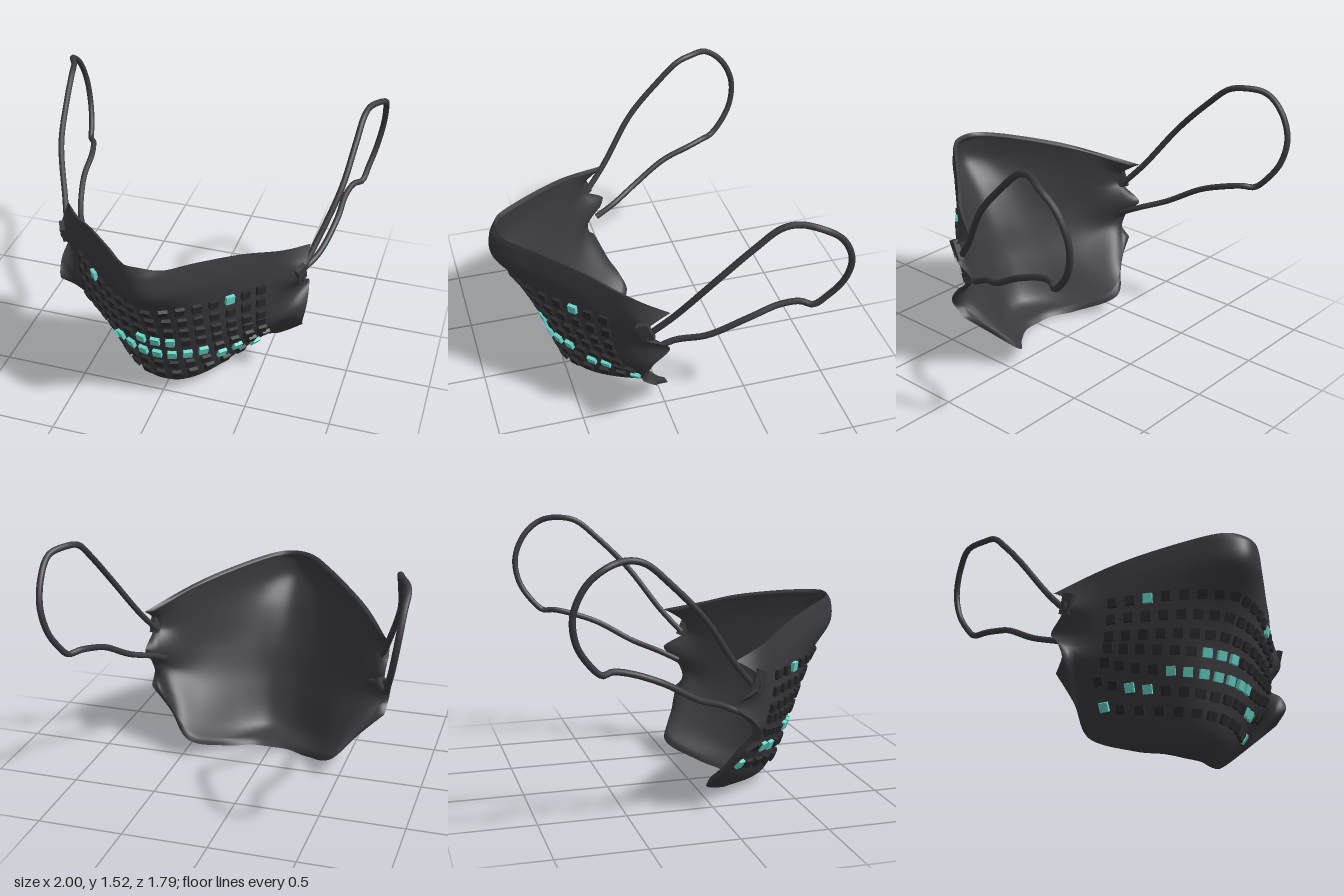
import * as THREE from 'three';

// Half of the mask: each column keeps one x and runs from top edge to bottom edge
// as [y, z], with an optional third value pushing the point sideways
const COLUMNS = [
  { x: 0, p: [[1.12, .85], [1.06, .89], [.93, .885], [.76, .76], [.55, .655], [.32, .575], [.06, .46], [.005, .25]] },
  { x: .12, p: [[1.11, .82], [1.05, .835], [.93, .83], [.76, .72], [.55, .63], [.32, .555], [.065, .43], [.01, .235]] },
  { x: .26, p: [[1.088, .67], [1.03, .68], [.92, .68], [.76, .63], [.55, .56], [.33, .47], [.1, .32], [.03, .14]] },
  { x: .45, p: [[1.038, .45], [.98, .46], [.89, .465], [.76, .45], [.57, .41], [.38, .32], [.2, .13], [.12, -.025]] },
  { x: .6, p: [[.975, .28], [.93, .285], [.86, .29], [.75, .29], [.6, .26], [.46, .24], [.35, .13], [.26, .075]] },
  { x: .74, p: [[.91, .05], [.87, .12], [.82, .18], [.74, .18], [.66, .05, .005], [.57, .15, .02], [.47, .21, .01], [.39, .12]] },
];
const U = COLUMNS.length - 1, V = COLUMNS[0].p.length - 1;

// Smooth curve through the samples get(min..max)
function spline(get, t, min, max) {
  const i = Math.max(min, Math.min(Math.floor(t), max - 1)), f = t - i;
  const at = k => get(Math.min(Math.max(k, min), max));
  const a = at(i - 1), b = at(i), c = at(i + 1), d = at(i + 2);
  return b + .5 * f * (c - a + f * (2 * a - 5 * b + 4 * c - d + f * (3 * (b - c) + d - a)));
}

// Point on the mask, u from -U to U across, v from 0 (top) to V (bottom)
function maskPoint(u, v) {
  const sample = read => spline(k => spline(
    j => read(COLUMNS[Math.abs(k)], j, Math.sign(k)), v, 0, V), u, -U, U);
  return new THREE.Vector3(
    sample((col, j, side) => side * (col.x + (col.p[j][2] ?? 0))),
    sample((col, j) => col.p[j][0]),
    sample((col, j) => col.p[j][1]));
}

// Outward direction of the mask surface
function maskNormal(u, v) {
  const e = .05;
  const u0 = Math.max(u - e, -U), u1 = Math.min(u + e, U);
  const v0 = Math.max(v - e, 0), v1 = Math.min(v + e, V);
  const du = maskPoint(u1, v).sub(maskPoint(u0, v));
  const dv = maskPoint(u, v1).sub(maskPoint(u, v0));
  return dv.cross(du).normalize();
}

function bisect(lo, hi, isBelow) {
  for (let i = 0; i < 24; i++) {
    const mid = (lo + hi) / 2;
    if (isBelow(mid)) lo = mid; else hi = mid;
  }
  return (lo + hi) / 2;
}

// One layer of cloth, set inward by depth but meeting the outer layer at the edges
function layerGeometry(depth, nu = 80, nv = 56) {
  const pos = [], index = [];
  for (let j = 0; j <= nv; j++) {
    for (let i = 0; i <= nu; i++) {
      const u = -U + 2 * U * i / nu, v = V * j / nv;
      const edge = Math.min(1, (U - Math.abs(u)) * 4, v * 4, (V - v) * 4);
      pos.push(...maskPoint(u, v).addScaledVector(maskNormal(u, v), -depth * edge).toArray());
      if (i < nu && j < nv) {
        const a = j * (nu + 1) + i, c = a + nu + 1;
        index.push(a, c, a + 1, a + 1, c, c + 1);
      }
    }
  }
  const g = new THREE.BufferGeometry();
  g.setAttribute('position', new THREE.Float32BufferAttribute(pos, 3));
  g.setIndex(index);
  g.computeVertexNormals();
  return g;
}

// Ear loop path on the left side
const LOOP = [
  [.71, .76, .16], [.765, .905, .035], [.855, 1.175, -.16], [.885, 1.37, -.35], [.9, 1.48, -.48],
  [.92, 1.503, -.57], [.978, 1.485, -.69], [.978, 1.4, -.8], [.965, 1.25, -.867], [.94, 1.1, -.85],
  [.91, .985, -.78], [.89, .92, -.71], [.85, .925, -.65], [.82, .9, -.54], [.81, .835, -.37],
  [.755, .715, -.16], [.675, .65, 0], [.65, .59, .12],
];

// Light rows: height at centre and at the ends, end x, steps to each side, test for lit squares
const ROWS = [
  { y: .775, yEnd: .765, x: .53, n: 7, lit: k => k === 5 },
  { y: .67, yEnd: .67, x: .53, n: 7, lit: () => false },
  { y: .57, yEnd: .575, x: .53, n: 7, lit: () => false },
  { y: .475, yEnd: .515, x: .53, n: 7, lit: k => k <= 1 },
  { y: .362, yEnd: .44, x: .53, n: 7, lit: k => k <= 3 },
  { y: .26, yEnd: .36, x: .53, n: 7, lit: k => k === 4 || k === 5 },
  { y: .16, yEnd: .24, x: .46, n: 6, lit: k => k === 6 },
];

export function createModel() {
  const fabric = new THREE.MeshStandardMaterial({ color: 0x3b3a3f, side: THREE.DoubleSide });
  fabric.name = 'charcoal fabric';
  const dark = new THREE.MeshStandardMaterial({ color: 0x2a2a2c });
  dark.name = 'unlit black';
  const teal = new THREE.MeshStandardMaterial({ color: 0x66d6c8 });
  teal.name = 'lit teal';

  const model = new THREE.Group();
  model.name = 'faceMask';
  const add = (parent, name, geometry, material) => {
    const mesh = new THREE.Mesh(geometry, material);
    mesh.name = name;
    parent.add(mesh);
    return mesh;
  };

  add(model, 'outerLayer', layerGeometry(0), fabric);
  add(model, 'lining', layerGeometry(.022), fabric);

  // Ear loops with small folded tabs
  for (const [side, s] of [['left', 1], ['right', -1]]) {
    const path = new THREE.CatmullRomCurve3(LOOP.map(([x, y, z]) => new THREE.Vector3(s * x, y, z)));
    add(model, side + 'EarLoop', new THREE.TubeGeometry(path, 110, .018, 10), fabric);
    const tab = add(model, side + 'LoopTab', new THREE.BoxGeometry(.03, .12, .07), fabric);
    tab.position.set(s * .72, .79, .185);
    tab.rotation.set(.4, s * -.4, 0);
  }

  // Grid of square lights resting on the outer layer, spaced wider near the middle
  const lights = new THREE.Group();
  lights.name = 'lightGrid';
  model.add(lights);
  const square = new THREE.BoxGeometry(.052, .052, .024);
  for (const row of ROWS) {
    for (let i = -row.n; i <= row.n; i++) {
      const t = i / row.n;
      const x = row.x * t + .07 * t * (1 - Math.abs(t));
      const y = row.y + (row.yEnd - row.y) * t * t;
      const u = bisect(-U, U, m => maskPoint(m, 3).x < x);
      const v = bisect(0, V, m => maskPoint(u, m).y > y);
      const normal = maskNormal(u, v);
      const lit = row.lit(Math.abs(i));
      const mesh = add(lights, lit ? 'litSquare' : 'unlitSquare', square, lit ? teal : dark);
      mesh.position.copy(maskPoint(u, v)).addScaledVector(normal, .009);
      mesh.lookAt(mesh.position.clone().add(normal));
    }
  }
  return model;
}
